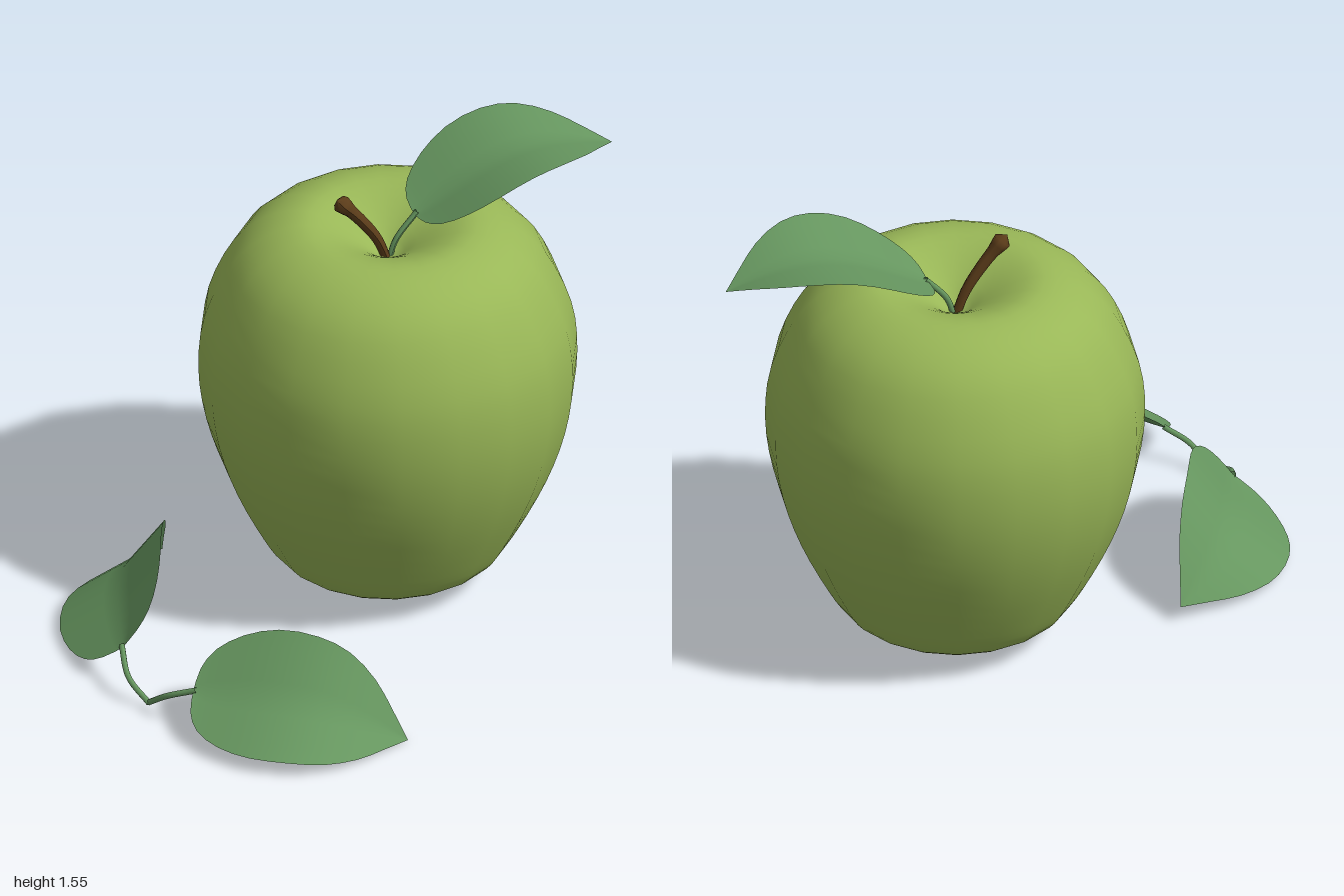
import * as THREE from 'three';

const V = (x, y, z) => new THREE.Vector3(x, y, z);

const appleGreen = new THREE.MeshStandardMaterial({ color: 0x99b757 });
appleGreen.name = 'apple green';
const leafGreen = new THREE.MeshStandardMaterial({ color: 0x66965f, side: THREE.DoubleSide });
leafGreen.name = 'leaf green';
const stemBrown = new THREE.MeshStandardMaterial({ color: 0x5c3d1a, side: THREE.DoubleSide });
stemBrown.name = 'stem brown';

function addMesh(parent, name, geometry, material) {
  const mesh = new THREE.Mesh(geometry, material);
  mesh.name = name;
  parent.add(mesh);
  return mesh;
}

// Tube along a curve whose radius follows radiusAt(t)
function taperedTube(points, radiusAt, segments = 14, sides = 8) {
  const curve = new THREE.CatmullRomCurve3(points);
  const geo = new THREE.TubeGeometry(curve, segments, 1, sides);
  const pos = geo.attributes.position;
  const p = new THREE.Vector3();
  for (let i = 0; i < pos.count; i++) {
    const t = Math.floor(i / (sides + 1)) / segments;
    const c = curve.getPointAt(t);
    p.fromBufferAttribute(pos, i).sub(c).multiplyScalar(radiusAt(t)).add(c);
    pos.setXYZ(i, p.x, p.y, p.z);
  }
  geo.computeVertexNormals();
  return geo;
}

// Half outline of a leaf: position along the midrib, half width
const leafOutline = new THREE.SplineCurve([
  [0, 0], [0.01, 0.08], [0.06, 0.15], [0.17, 0.205], [0.32, 0.235], [0.5, 0.232],
  [0.66, 0.205], [0.8, 0.145], [0.9, 0.075], [0.96, 0.03], [1, 0],
].map(([u, w]) => new THREE.Vector2(u, w)));

// Arched, slightly folded blade from base to tip, rolled about its midrib
function leafBlade(base, tip, roll) {
  const length = base.distanceTo(tip);
  const geo = new THREE.PlaneGeometry(1, 1, 20, 8);
  const pos = geo.attributes.position;
  for (let i = 0; i < pos.count; i++) {
    const o = leafOutline.getPoint(pos.getX(i) + 0.5);
    const u = THREE.MathUtils.clamp(o.x, 0, 1);
    const w = Math.max(o.y, 0);
    const v = pos.getY(i) * 2;
    const arch = 0.11 * Math.sin(Math.PI * Math.pow(u, 1.15));
    pos.setXYZ(i, u * length, arch + Math.abs(v) * w * 0.16, -v * w);
  }
  const along = tip.clone().sub(base).normalize();
  const across = along.clone().cross(V(0, 1, 0)).normalize();
  const normal = across.clone().cross(along);
  geo.applyMatrix4(new THREE.Matrix4().makeRotationX(-roll));
  geo.applyMatrix4(new THREE.Matrix4().makeBasis(along, normal, across).setPosition(base));
  geo.computeVertexNormals();
  return geo;
}

export function createModel() {
  const model = new THREE.Group();
  model.name = 'apple with leaves';
  const cx = 0.185, cz = -0.255;

  // Fruit: turned profile with a hollow at each end
  const profile = new THREE.SplineCurve([
    [0, 0.21], [0.06, 0.19], [0.14, 0.125], [0.23, 0.08], [0.31, 0.07], [0.38, 0.1],
    [0.445, 0.2], [0.54, 0.4], [0.604, 0.6], [0.63, 0.8], [0.61, 1.0], [0.525, 1.195],
    [0.42, 1.3], [0.3, 1.345], [0.2, 1.325], [0.1, 1.27], [0.04, 1.225], [0, 1.21],
  ].map(([r, y]) => new THREE.Vector2(r, y)));
  const points = profile.getPoints(51);
  points.forEach((p) => { p.x = Math.max(p.x, 0); });
  addMesh(model, 'fruit', new THREE.LatheGeometry(points, 20), appleGreen).position.set(cx, 0, cz);

  // Woody stem, thicker at its cut end
  const stem = [V(cx, 1.19, cz), V(0.145, 1.29, cz), V(0.08, 1.385, cz), V(0.002, 1.475, cz)];
  addMesh(model, 'stem', taperedTube(stem, (t) =>
    t === 1 ? 0 : 0.015 + 0.008 * t + 0.009 * THREE.MathUtils.smoothstep(t, 0.75, 0.93)), stemBrown);

  // Dried blossom end in the lower hollow
  const calyx = new THREE.Group();
  calyx.name = 'blossomEnd';
  calyx.position.set(cx, 0.17, cz);
  model.add(calyx);
  addMesh(calyx, 'blossomCore', new THREE.CylinderGeometry(0.03, 0.045, 0.07, 10), stemBrown);
  for (let i = 0; i < 5; i++) {
    const a = (i / 5) * Math.PI * 2;
    const sepal = addMesh(calyx, 'sepal', new THREE.ConeGeometry(0.018, 0.06, 5), stemBrown);
    sepal.position.set(Math.cos(a) * 0.04, -0.035, Math.sin(a) * 0.04);
    sepal.rotation.set(Math.PI, -a, 0, 'YXZ');
  }

  // Leaves: one on the fruit, two lying beside it
  const leaves = [
    ['topLeaf', V(0.28, 1.35, cz), V(0.99, 1.46, cz), 0],
    ['backGroundLeaf', V(-0.905, 0.13, 0.075), V(-0.51, 0.06, -0.53), Math.PI / 4],
    ['frontGroundLeaf', V(-0.79, 0.13, 0.41), V(-0.17, 0.003, 0.775), -0.61],
  ];
  for (const [name, base, tip, roll] of leaves) {
    addMesh(model, name, leafBlade(base, tip, roll), leafGreen);
  }

  // Leaf stalks
  const stalkRadius = () => 0.01;
  addMesh(model, 'topLeafStalk', taperedTube(
    [V(0.19, 1.2, cz), V(0.215, 1.27, cz), V(0.29, 1.36, cz)], stalkRadius), leafGreen);
  addMesh(model, 'backLeafStalk', taperedTube(
    [V(-0.89, 0.025, 0.27), V(-0.925, 0.08, 0.18), V(-0.903, 0.135, 0.065)], stalkRadius), leafGreen);
  addMesh(model, 'frontLeafStalk', taperedTube(
    [V(-0.89, 0.025, 0.265), V(-0.855, 0.09, 0.345), V(-0.78, 0.135, 0.415)], stalkRadius), leafGreen);

  return model;
}
